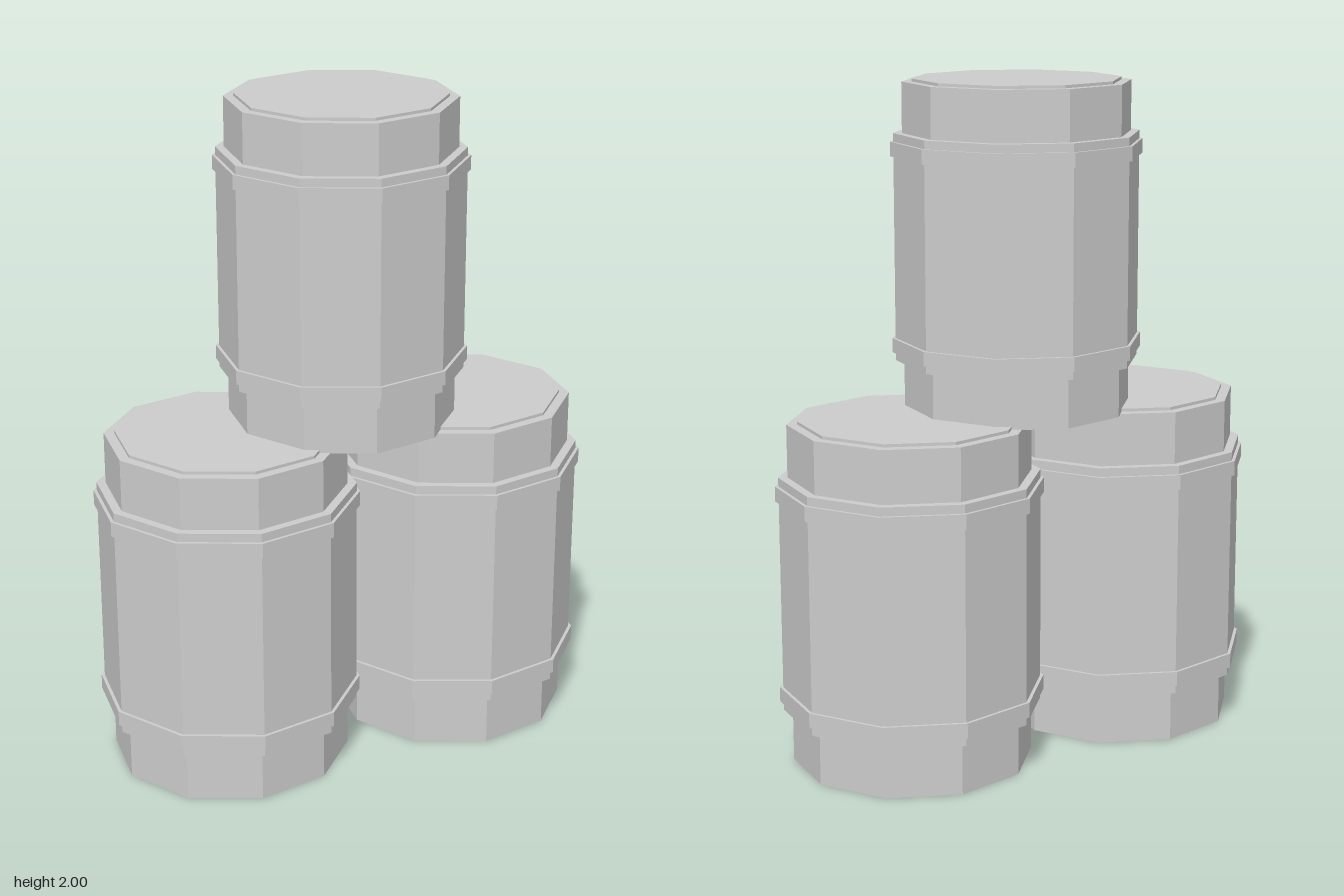
import * as THREE from 'three';

const SIDES = 10;

// One barrel: core, wider shell, two hoops and a raised lid
function makeBarrel(material) {
  const barrel = new THREE.Group();
  const addRing = (name, radius, bottom, top) => {
    const geometry = new THREE.CylinderGeometry(radius, radius, top - bottom, SIDES);
    const mesh = new THREE.Mesh(geometry, material);
    mesh.name = name;
    mesh.position.y = (bottom + top) / 2;
    barrel.add(mesh);
  };
  addRing('core', 0.358, 0, 1.026);
  addRing('shell', 0.385, 0.157, 0.869);
  addRing('lowerHoop', 0.395, 0.183, 0.228);
  addRing('upperHoop', 0.395, 0.798, 0.843);
  addRing('lid', 0.327, 1.026, 1.035);
  return barrel;
}

export function createModel() {
  const model = new THREE.Group();
  model.name = 'barrelStack';
  const grey = new THREE.MeshStandardMaterial({ color: 0xcccccc, flatShading: true });
  grey.name = 'plain grey';

  // Two barrels on the ground, a slightly smaller one resting on both
  const placements = [
    ['rightBarrel', -0.375, 0, 0.057, 1],
    ['leftBarrel', 0.375, 0, -0.06, 1],
    ['topBarrel', 0, 1.024, -0.002, 0.943],
  ];
  for (const [name, x, y, z, scale] of placements) {
    const barrel = makeBarrel(grey);
    barrel.name = name;
    barrel.position.set(x, y, z);
    barrel.scale.setScalar(scale);
    model.add(barrel);
  }
  return model;
}
